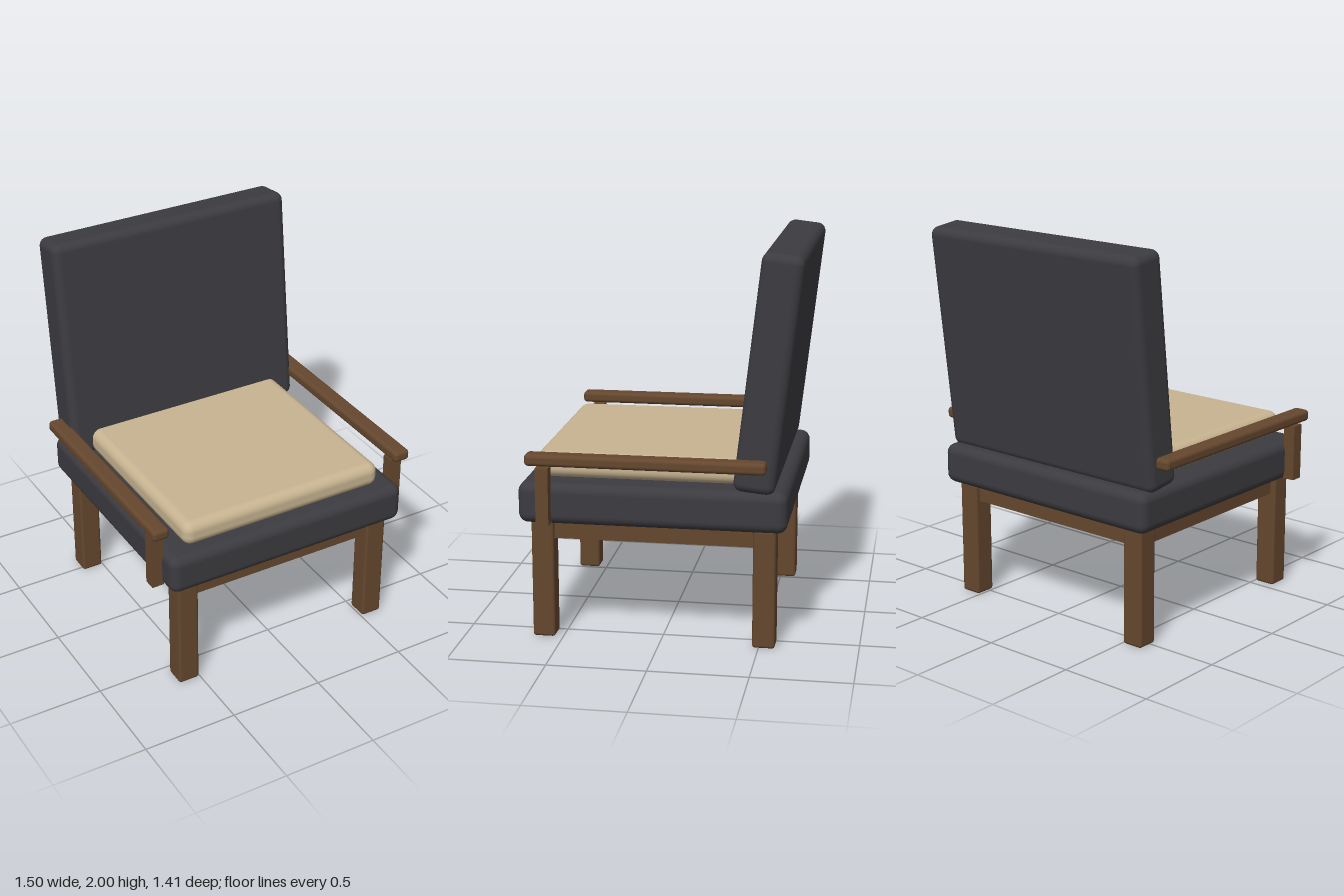
import * as THREE from 'three';
import { RoundedBoxGeometry } from 'three/addons/geometries/RoundedBoxGeometry.js';

const fabric = new THREE.MeshStandardMaterial({ color: 0x3c3b40 });
const cream = new THREE.MeshStandardMaterial({ color: 0xc8b491 });
const wood = new THREE.MeshStandardMaterial({ color: 0x65472e });

export function createModel() {
  const chair = new THREE.Group();
  chair.name = 'armchair';

  // Box of the given size and centre; a radius rounds its edges
  function block(name, material, size, centre, radius = 0, segments = 4) {
    const geometry = radius
      ? new RoundedBoxGeometry(...size, segments, radius)
      : new THREE.BoxGeometry(...size);
    const mesh = new THREE.Mesh(geometry, material);
    mesh.name = name;
    mesh.position.set(...centre);
    chair.add(mesh);
    return mesh;
  }

  // Upholstery
  block('seatBase', fabric, [1.36, 0.21, 1.35], [0, 0.723, 0.035], 0.05);
  block('seatCushion', cream, [1.14, 0.13, 1.1], [0, 0.895, 0.095], 0.05);
  const back = block('backrest', fabric, [1.36, 1.185, 0.208], [0, 1.407, -0.538], 0.045);
  back.rotation.x = -0.115;

  // Legs and the rails between them
  const legX = 0.5625, frontZ = 0.597, backZ = -0.525;
  const midZ = (frontZ + backZ) / 2;
  for (const [end, z] of [['front', frontZ], ['back', backZ]]) {
    for (const [side, s] of [['Left', 1], ['Right', -1]]) {
      block(`${end}${side}Leg`, wood, [0.115, 0.615, 0.115], [s * legX, 0.3125, z], 0.015, 2);
    }
    block(`${end}Rail`, wood, [2 * legX - 0.1, 0.08, 0.06], [0, 0.565, z]);
  }

  // Side rails, armrests and the posts under them
  for (const [side, s] of [['left', 1], ['right', -1]]) {
    block(`${side}Rail`, wood, [0.06, 0.08, frontZ - backZ - 0.1], [s * legX, 0.565, midZ]);
    block(`${side}Armrest`, wood, [0.09, 0.06, 1.195], [s * 0.705, 0.965, 0.057], 0.02);
    block(`${side}ArmPost`, wood, [0.065, 0.295, 0.065], [s * 0.704, 0.777, 0.569]);
  }

  return chair;
}
